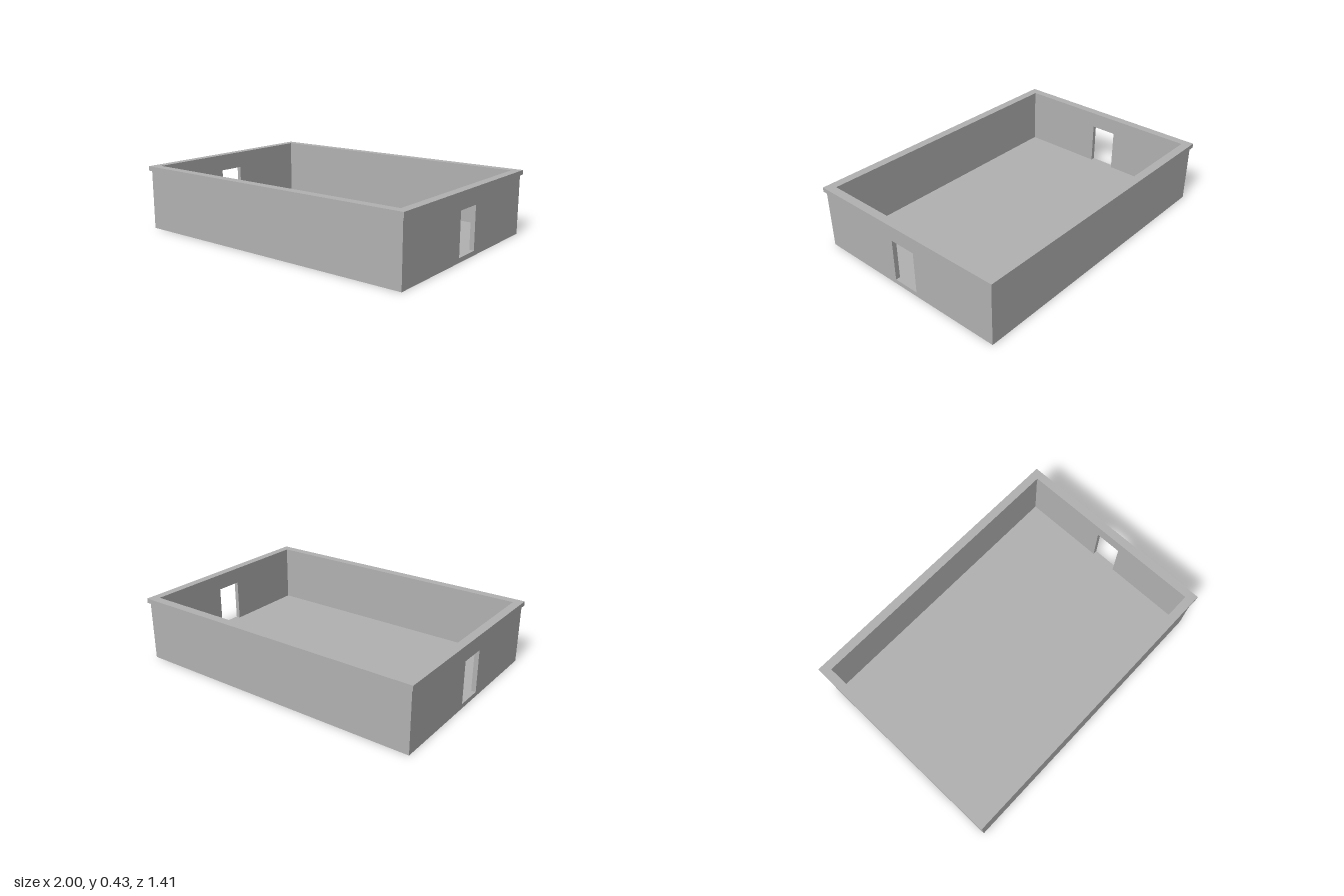
import * as THREE from 'three';

const W = 0.988, D = 0.69;            // outer half width and depth of the walls
const T = 0.03;                       // wall and floor thickness
const WALL_TOP = 0.395, CAP_TOP = 0.425;
const DOOR_HALF = 0.09, DOOR_TOP = 0.31;

const rect = (PathType, hw, hd) => new PathType([
  [-hw, -hd], [hw, -hd], [hw, hd], [-hw, hd],
].map(([x, y]) => new THREE.Vector2(x, y)));

export function createModel() {
  const group = new THREE.Group();
  const concrete = new THREE.MeshStandardMaterial({ color: 0xb2b2b2 });
  concrete.name = 'concrete grey';

  const add = (name, geometry, x = 0, y = 0, z = 0) => {
    const mesh = new THREE.Mesh(geometry, concrete);
    mesh.name = name;
    mesh.position.set(x, y, z);
    group.add(mesh);
    return mesh;
  };

  // Floor slab
  add('floor', new THREE.BoxGeometry(2 * W, T, 2 * D), 0, T / 2, 0);

  // Long front and back walls, fitted between the end walls
  const wallHeight = WALL_TOP - T;
  const longWall = new THREE.BoxGeometry(2 * (W - T), wallHeight, T);
  add('frontWall', longWall, 0, T + wallHeight / 2, D - T / 2);
  add('backWall', longWall, 0, T + wallHeight / 2, -D + T / 2);

  // End walls, each with a doorway opening down to the floor
  const outline = new THREE.Shape([
    [-D, T], [-DOOR_HALF, T], [-DOOR_HALF, DOOR_TOP], [DOOR_HALF, DOOR_TOP],
    [DOOR_HALF, T], [D, T], [D, WALL_TOP], [-D, WALL_TOP],
  ].map(([x, y]) => new THREE.Vector2(x, y)));
  const endWall = new THREE.ExtrudeGeometry(outline, { depth: T, bevelEnabled: false });
  endWall.rotateY(Math.PI / 2);
  add('leftDoorWall', endWall, W - T);
  add('rightDoorWall', endWall, -W);

  // Coping around the wall tops, overhanging on both sides
  const ring = rect(THREE.Shape, 1, 0.704);
  ring.holes.push(rect(THREE.Path, 0.944, 0.646));
  const coping = new THREE.ExtrudeGeometry(ring, { depth: CAP_TOP - WALL_TOP, bevelEnabled: false });
  coping.rotateX(-Math.PI / 2);
  add('coping', coping, 0, WALL_TOP, 0);

  return group;
}
